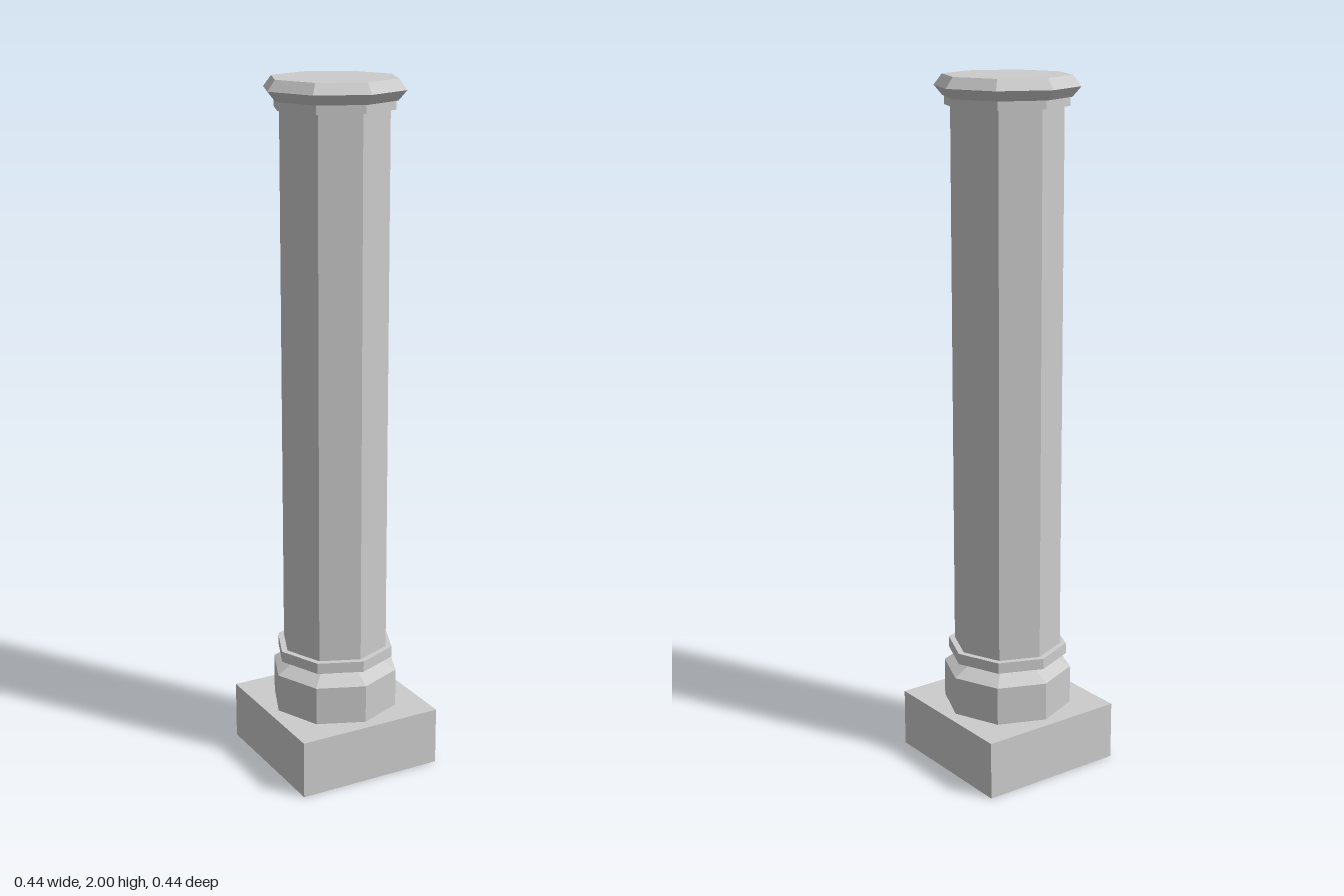
import * as THREE from 'three';

const material = new THREE.MeshStandardMaterial({ color: 0xcccccc, flatShading: true });

// Eight-sided drum between two heights, with a corner facing front
function drum(name, y0, y1, bottomRadius, topRadius = bottomRadius) {
  const mesh = new THREE.Mesh(
    new THREE.CylinderGeometry(topRadius, bottomRadius, y1 - y0, 8), material);
  mesh.name = name;
  mesh.position.y = (y0 + y1) / 2;
  return mesh;
}

export function createModel() {
  const column = new THREE.Group();
  column.name = 'column';

  // Square foot
  const plinth = new THREE.Mesh(new THREE.BoxGeometry(0.442, 0.17, 0.442), material);
  plinth.name = 'plinth';
  plinth.position.y = 0.085;
  column.add(plinth);

  // Octagonal base with sloping shoulder and projecting ring
  column.add(
    drum('base', 0.17, 0.283, 0.188),
    drum('baseShoulder', 0.283, 0.324, 0.188, 0.12),
    drum('lowerRing', 0.324, 0.356, 0.175));

  // Shaft
  column.add(drum('shaft', 0.356, 1.918, 0.157));

  // Capital: ring, then a block bevelled below and above
  column.add(
    drum('upperRing', 1.918, 1.942, 0.173),
    drum('capitalLower', 1.942, 1.97, 0.178, 0.202),
    drum('capitalUpper', 1.97, 2, 0.202, 0.179));

  return column;
}
